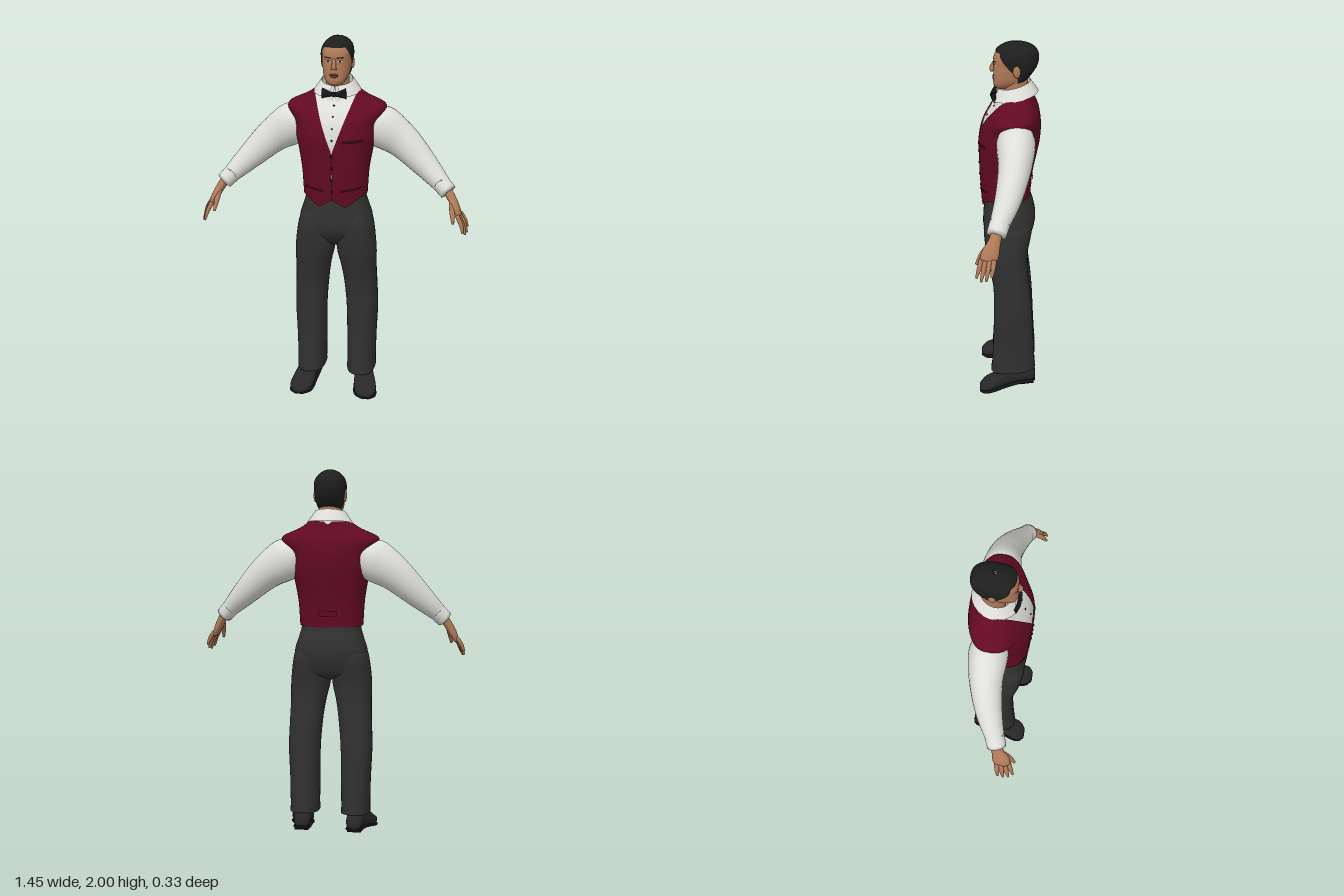
import * as THREE from 'three';

const mat = (name, color, side = THREE.FrontSide) =>
  Object.assign(new THREE.MeshStandardMaterial({ color, side }), { name });

// Smooth interpolation of rows keyed by their first column
function sample(rows, k) {
  const n = rows.length - 1;
  let i = 0;
  while (i < n - 1 && k > rows[i + 1][0]) i++;
  const p = rows[i], q = rows[i + 1], h = q[0] - p[0];
  const t = Math.min(1, Math.max(0, (k - p[0]) / h));
  const slope = (j, c) => {
    const a = rows[Math.max(0, j - 1)], b = rows[Math.min(n, j + 1)];
    return (b[c] - a[c]) / (b[0] - a[0]);
  };
  return p.slice(1).map((v, c) => {
    c++;
    const t2 = t * t, t3 = t2 * t;
    return (2 * t3 - 3 * t2 + 1) * v + (t3 - 2 * t2 + t) * h * slope(i, c) +
      (3 * t2 - 2 * t3) * q[c] + (t3 - t2) * h * slope(i + 1, c);
  });
}

// Surface from point(u, v), u and v in 0..1; wrap closes it in u
function grid(point, nu, nv, wrap) {
  const pos = [], idx = [], cols = wrap ? nu : nu + 1;
  for (let j = 0; j <= nv; j++)
    for (let i = 0; i < cols; i++) pos.push(...point(i / nu, j / nv));
  for (let j = 0; j < nv; j++)
    for (let i = 0; i < nu; i++) {
      const a = j * cols + i, b = j * cols + (i + 1) % cols;
      idx.push(a, b, b + cols, a, b + cols, a + cols);
    }
  const g = new THREE.BufferGeometry();
  g.setAttribute('position', new THREE.Float32BufferAttribute(pos, 3));
  g.setIndex(idx);
  g.computeVertexNormals();
  return g;
}

const pw = (v, e) => Math.sign(v) * Math.abs(v) ** e;

// Point on a body with rows [y, centreX, halfWidth, zFront, zBack]; angle 0 is the front
function onBody(rows, a, y, off = 0, n = 2.5) {
  const [cx, w, f, b] = sample(rows, y);
  return [cx + (w + off) * pw(Math.sin(a), 2 / n), y, (f + b) / 2 + ((f - b) / 2 + off) * pw(Math.cos(a), 2 / n)];
}

function loft(rows, { start = () => 0, low = () => rows[0][0], high = rows.at(-1)[0], off = 0, nu = 48, nv = 40, wrap = true } = {}) {
  return grid((u, v) => {
    let a = u * Math.PI * 2;
    const lo = low(a), y = lo + (high - lo) * v, s = start(y);
    a = s + u * (Math.PI * 2 - 2 * s);
    return onBody(rows, a, y, off);
  }, nu, nv, wrap);
}

// Thin patch lying on a body, between x0 and x1, around height y
function patch(rows, x0, x1, y, h, { tilt = 0, back = false, off = 0.004 } = {}) {
  return grid((u, v) => {
    const x = x0 + (x1 - x0) * (back ? 1 - u : u);
    const yy = y + (v - 0.5) * h + tilt * (x - (x0 + x1) / 2);
    const a = Math.asin(pw(x / (sample(rows, yy)[1] + off), 1.25));
    return onBody(rows, back ? Math.PI - a : a, yy, off);
  }, 10, 2, false);
}

// Closed tube with rows [t, x, y, z, radiusAcross, radiusDeep]
function tube(rows, nu = 20, nv = 24, ref = new THREE.Vector3(0, 0, 1)) {
  return grid((u, v) => {
    const t = Math.min(1, Math.max(0, (v * nv - 1) / (nv - 2)));
    const at = k => new THREE.Vector3(...sample(rows, k).slice(0, 3));
    const T = at(Math.min(1, t + 0.01)).sub(at(Math.max(0, t - 0.01))).normalize();
    const B = ref.clone().addScaledVector(T, -ref.dot(T)).normalize();
    const N = B.clone().cross(T), r = sample(rows, t), k = v === 0 || v === 1 ? 0 : 1;
    return at(t).addScaledVector(N, r[3] * k * Math.cos(u * 2 * Math.PI))
      .addScaledVector(B, r[4] * k * Math.sin(u * 2 * Math.PI)).toArray();
  }, nu, nv, true);
}

function mirrored(g) {
  const m = g.clone().scale(-1, 1, 1), ix = m.index.array;
  for (let i = 0; i < ix.length; i += 3) [ix[i], ix[i + 1]] = [ix[i + 1], ix[i]];
  return m;
}

const TORSO = [[1.1, 0, .168, .148, -.112], [1.2, 0, .173, .155, -.115], [1.3, 0, .18, .16, -.125],
  [1.4, 0, .196, .163, -.145], [1.48, 0, .212, .163, -.16], [1.56, 0, .222, .145, -.165], [1.62, 0, .262, .11, -.157],
  [1.65, 0, .252, .085, -.147], [1.69, 0, .165, .058, -.128], [1.73, 0, .105, .04, -.115]];
const PELVIS = [[.87, 0, .06, .06, -.04], [.9, 0, .15, .1, -.1], [.96, 0, .195, .138, -.128], [1.03, 0, .197, .143, -.14],
  [1.1, 0, .176, .135, -.128], [1.15, 0, .162, .125, -.112], [1.22, 0, .155, .12, -.1]];
const LEG = [[.1, .142, .077, .1, -.148], [.3, .142, .08, .09, -.136], [.5, .144, .086, .085, -.126],
  [.65, .135, .09, .088, -.112], [.75, .126, .096, .106, -.1], [.85, .115, .107, .125, -.1], [1, .103, .1, .138, -.122], [1.06, .1, .08, .12, -.1]];
const HEAD = [[1.752, 0, .028, .066, .01], [1.77, 0, .048, .082, -.03], [1.8, 0, .065, .084, -.08], [1.84, 0, .073, .083, -.115],
  [1.88, 0, .077, .081, -.138], [1.92, 0, .078, .081, -.145], [1.955, 0, .068, .064, -.136], [1.98, 0, .046, .034, -.108],
  [1.994, 0, .024, .0, -.07], [2, 0, .002, -.03, -.04]];

export function createModel() {
  const root = new THREE.Group();
  const skin = mat('skin', 0xb07a58), lip = mat('lips', 0x85503f), hair = mat('hair', 0x1e1e1f, THREE.DoubleSide);
  const white = mat('shirt cotton', 0xdededa, THREE.DoubleSide), red = mat('vest cloth', 0x620a22, THREE.DoubleSide);
  const trim = mat('vest trim', 0x33060f), cloth = mat('trouser cloth', 0x303031, THREE.DoubleSide);
  const leather = mat('shoe leather', 0x28282a), black = mat('black', 0x161618);
  const add = (name, g, m) => {
    const mesh = new THREE.Mesh(g, m);
    mesh.name = name;
    root.add(mesh);
    return mesh;
  };
  const pair = (name, g, m) => {
    add(name + 'Left', g, m);
    add(name + 'Right', mirrored(g), m);
  };
  const ball = (x, y, z, rx, ry, rz) => new THREE.SphereGeometry(1, 16, 12).scale(rx, ry, rz).translate(x, y, z);

  // Shirt body and open-fronted vest with a pointed hem
  add('shirtBody', loft(TORSO, { low: () => 1.2, off: -.006 }), white);
  const neckline = y => {
    const w = Math.max(.002, (y - 1.41) * .37);
    return Math.asin(Math.min(.97, w / sample(TORSO, y)[1]) ** 1.25);
  };
  const hem = a => {
    const x = Math.abs(Math.sin(a));
    if (Math.cos(a) < 0) return 1.165;
    return x < .33 ? 1.15 - .04 * x / .33 : 1.11 + .055 * Math.min(1, (x - .33) / .5);
  };
  add('vest', loft(TORSO, { start: neckline, low: hem, nu: 72, nv: 56, wrap: false }), red);
  add('vestPlacket', patch(TORSO, -.002, .002, 1.285, .25, { off: .002 }), trim);
  add('chestPocket', patch(TORSO, .055, .165, 1.477, .016, { tilt: .06 }), trim);
  pair('lowerPocket', patch(TORSO, .045, .15, 1.212, .014, { tilt: .15 }), trim);
  add('backStrap', patch(TORSO, -.05, .05, 1.24, .034, { back: true }), trim);
  add('backStrapFace', patch(TORSO, -.045, .045, 1.24, .024, { back: true, off: .007 }), red);
  for (const y of [1.2, 1.265, 1.33, 1.395]) add('vestButton', ball(0, y, onBody(TORSO, 0, y)[2], .007, .007, .005), black);
  for (const y of [1.48, 1.54, 1.6, 1.65]) add('shirtStud', ball(0, y, onBody(TORSO, 0, y, -.006)[2], .005, .005, .004), black);

  // Collar: stand plus folded wings, higher at the back
  const collar = (r0, y0, r1, y1, gap) => grid((u, v) => {
    const a = gap * (1.4 - v) + u * (Math.PI * 2 - 2 * gap * (1.4 - v)), r = r0 + (r1 - r0) * v;
    return [r * Math.sin(a), y0 + (y1 - y0) * v - .022 * Math.cos(a), -.027 + r * .98 * Math.cos(a)];
  }, 48, 4, false);
  add('collarStand', collar(.095, 1.69, .082, 1.772, .05), white);
  add('collarFold', collar(.125, 1.715, .084, 1.774, .3), white);

  // Bow tie
  pair('bowWing', tube([[0, .005, 1.712, .087, .011, .01], [.5, .03, 1.713, .086, .017, .011], [1, .064, 1.715, .076, .028, .008]], 16, 12), black);
  add('bowKnot', ball(0, 1.712, .09, .013, .014, .012), black);

  // Sleeves, cuffs and hands
  pair('sleeve', tube([[0, .17, 1.56, -.035, .08, .085], [.15, .235, 1.525, -.035, .113, .1], [.4, .35, 1.45, -.03, .094, .085],
    [.7, .475, 1.335, .002, .07, .068], [1, .595, 1.22, .055, .043, .046]], 28, 36), white);
  pair('cuff', tube([[0, .562, 1.252, .04, .048, .052], [1, .61, 1.203, .06, .046, .05]], 24, 6), white);
  pair('cuffButton', ball(.612, 1.25, .075, .006, .006, .006), black);
  pair('palm', tube([[0, .598, 1.22, .054, .025, .028], [.3, .628, 1.175, .068, .023, .032], [.7, .655, 1.125, .088, .021, .045],
    [1, .672, 1.088, .1, .015, .042]], 18, 16), skin);
  const fingers = [[.677, 1.1, .068, .718, 1.025, .08], [.675, 1.095, .09, .717, 1.002, .108],
    [.67, 1.092, .112, .71, .996, .134], [.663, 1.1, .13, .698, 1.01, .157]];
  for (const [x, y, z, X, Y, Z] of fingers)
    pair('finger', tube([[0, x, y, z, .012, .013], [.5, (x + X) / 2 + .005, (y + Y) / 2, (z + Z) / 2, .011, .0115], [1, X, Y, Z, .006, .006]], 10, 10), skin);
  pair('thumb', tube([[0, .63, 1.16, .085, .014, .017], [.5, .637, 1.115, .128, .014, .014], [1, .645, 1.06, .158, .007, .007]], 12, 10), skin);

  // Trousers
  add('trouserSeat', loft(PELVIS), cloth);
  pair('trouserLeg', loft(LEG, { low: a => .127 - .013 * Math.cos(a), nu: 36 }), cloth);
  pair('trouserHem', loft(LEG, { low: a => .126 - .013 * Math.cos(a), high: .15, off: .002, nu: 36, nv: 2 }), cloth);

  // Shoes with soles, rising to the heel: rows [z, centreX, halfWidth, bottom, top]
  const SHOE = [[-.148, .145, .026, .058, .105], [-.13, .145, .042, .053, .135], [-.05, .15, .047, .042, .15], [.03, .165, .055, .028, .128],
    [.09, .177, .063, .015, .085], [.14, .185, .056, .008, .058], [.166, .188, .026, .006, .034]];
  const alongZ = (flat, grow) => grid((u, v) => {
    const k = Math.min(1, Math.max(0, (v * 30 - 1) / 28)), z = -.148 + .314 * k, a = u * Math.PI * 2;
    const [cx, w, b, top] = sample(SHOE, z), t = flat ? b + .01 : top, lo = flat ? b - .006 : b, e = v === 0 || v === 1 ? 0 : 1;
    const side = pw(Math.cos(a), .7), up = pw(Math.sin(a), flat ? .4 : .8);
    return [cx + e * (w + grow) * side, (lo + t) / 2 + e * (t - lo) / 2 * up, z];
  }, 24, 30, true);
  pair('shoe', alongZ(false, 0), leather);
  pair('sole', alongZ(true, .003), black);
  pair('heel', new THREE.BoxGeometry(.074, .022, .075).rotateX(.15).translate(.147, .046, -.1), black);

  // Head, neck and face
  add('neck', tube([[0, 0, 1.66, -.04, .066, .064], [1, 0, 1.83, -.03, .06, .064]], 28, 8), skin);
  add('head', loft(HEAD, { high: 1.975 }), skin);
  add('chin', ball(0, 1.772, .05, .036, .02, .034), skin);
  const hairline = a => {
    const c = Math.min(a, 2 * Math.PI - a);
    return c < .75 ? 1.952 : c < 1.35 ? 1.952 - .075 * (c - .75) / .6 : 1.877 - .085 * Math.min(1, (c - 1.35) / .75);
  };
  add('hairCap', loft(HEAD, { low: hairline, off: .006, nu: 64 }), hair);
  add('nose', tube([[0, 0, 1.895, .074, .009, .01], [.7, 0, 1.856, .09, .012, .014], [1, 0, 1.843, .088, .017, .011]], 14, 12), skin);
  pair('ear', ball(.082, 1.862, -.03, .011, .034, .02).rotateY(.1), skin);
  pair('eyebrow', patch(HEAD, .014, .05, 1.902, .007, { tilt: .08, off: .003 }), hair);
  pair('eyeWhite', patch(HEAD, .019, .044, 1.884, .008, { off: .002 }), white);
  pair('iris', patch(HEAD, .026, .037, 1.884, .009, { off: .003 }), black);
  pair('eyelid', patch(HEAD, .016, .047, 1.889, .005, { off: .004 }), lip);
  add('upperLip', ball(0, 1.813, .082, .025, .005, .007), lip);
  add('lowerLip', ball(0, 1.804, .082, .021, .006, .007), lip);
  return root;
}
